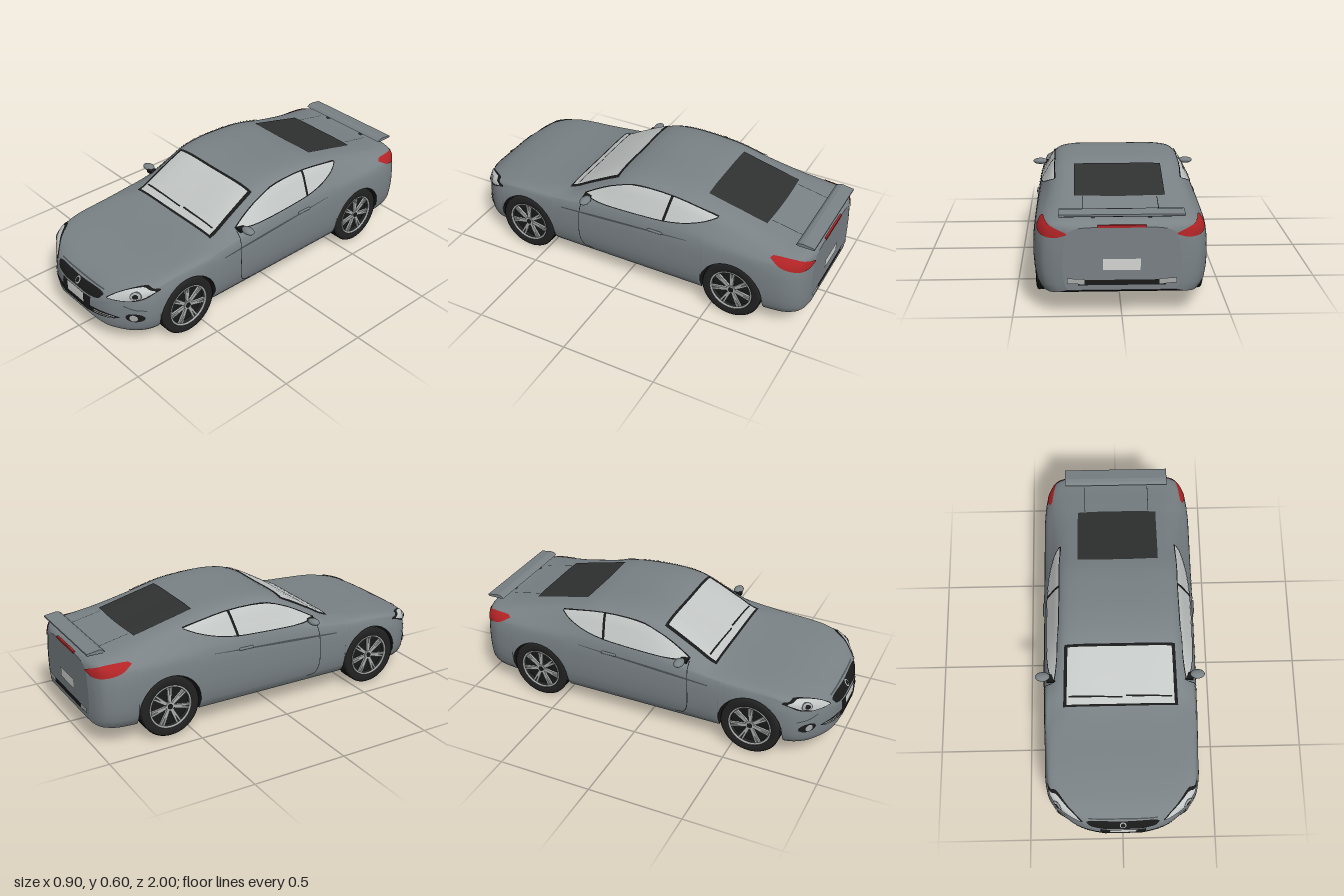
import * as THREE from 'three';

const mat = (name, color) => Object.assign(
  new THREE.MeshStandardMaterial({ color, side: THREE.DoubleSide }), { name });

// z, half width, bottom, belt height, shoulder half width, shoulder height, top
const STATIONS = [
  [-0.995, .27, .125, .34, .24, .402, .422], [-.98, .32, .112, .36, .285, .418, .436],
  [-.95, .365, .105, .385, .328, .43, .45], [-.88, .397, .1, .39, .347, .437, .46],
  [-.8, .407, .1, .395, .345, .447, .476], [-.72, .41, .1, .4, .335, .462, .492],
  [-.5, .41, .1, .41, .315, .515, .545], [-.3, .41, .1, .415, .31, .56, .587],
  [-.1, .41, .1, .415, .308, .572, .597], [.03, .41, .1, .41, .308, .56, .585],
  [.14, .41, .1, .405, .31, .515, .54], [.25, .41, .1, .395, .317, .46, .48],
  [.37, .41, .1, .385, .335, .402, .416], [.5, .408, .1, .372, .36, .39, .398],
  [.7, .405, .1, .35, .37, .373, .382], [.8, .392, .1, .33, .36, .355, .367],
  [.87, .35, .1, .305, .325, .338, .35], [.92, .29, .105, .28, .258, .313, .327],
  [.96, .225, .115, .26, .195, .285, .297], [.98, .17, .13, .24, .14, .26, .272],
  [.995, .1, .15, .22, .08, .236, .246]
];
const WHEEL_Z = [.6, -.62], WHEEL_Y = .16, ARCH = .17, BELT_T = 4 / 9, TOP_T = 8 / 9;
const mix = THREE.MathUtils.lerp;

// Smooth, overshoot-free interpolation of one station column
function stationValue(z, k) {
  const S = STATIONS, n = S.length;
  let i = 0;
  while (i < n - 2 && z > S[i + 1][0]) i++;
  const d = j => (S[j + 1][k] - S[j][k]) / (S[j + 1][0] - S[j][0]);
  const m = j => {
    if (j === 0) return d(0);
    if (j === n - 1) return d(n - 2);
    const a = d(j - 1), b = d(j);
    return a * b <= 0 ? 0 : 2 * a * b / (a + b);
  };
  const h = S[i + 1][0] - S[i][0], t = (z - S[i][0]) / h, t2 = t * t, t3 = t2 * t;
  return (2 * t3 - 3 * t2 + 1) * S[i][k] + (t3 - 2 * t2 + t) * h * m(i)
    + (3 * t2 - 2 * t3) * S[i + 1][k] + (t3 - t2) * h * m(i + 1);
}

// Half cross-section curve, sill to roof centre, cut off by the wheel arch
function section(z) {
  const [W, yb, belt, R, ySh, yT] = [1, 2, 3, 4, 5, 6].map(k => stationValue(z, k));
  const y7 = yT - .15 * (yT - ySh);
  const curve = new THREE.CatmullRomCurve3([
    [.91 * W, yb], [.967 * W, mix(yb, belt, .12)], [W, mix(yb, belt, .4)], [.995 * W, mix(yb, belt, .8)],
    [.965 * W, belt], [mix(.965 * W, R, .5) + .006, mix(belt, ySh, .5)],
    [R, ySh], [.8 * R, y7], [0, yT], [-.8 * R, y7]
  ].map(p => new THREE.Vector3(p[0], p[1], z)));
  let sill = yb;
  for (const c of WHEEL_Z) {
    const q = ARCH * ARCH - (z - c) ** 2;
    if (q > -1e-9) sill = WHEEL_Y + Math.sqrt(Math.max(0, q));
  }
  let lo = 0, hi = BELT_T;
  for (let i = 0; i < 24 && sill > yb; i++) {
    const t = (lo + hi) / 2;
    if (curve.getPoint(t).y < sill) lo = t; else hi = t;
  }
  const half = [];
  for (let i = 0; i < 7; i++) half.push(curve.getPoint(mix(lo, BELT_T, i / 7)));
  for (let i = 0; i <= 15; i++) half.push(curve.getPoint(mix(BELT_T, TOP_T, i / 15)));
  return { half, yb, inner: Math.min(.29, .85 * W) };
}

// Surface through rows of points
function grid(rows) {
  const n = rows[0].length, idx = [];
  for (let i = 0; i < rows.length - 1; i++) for (let j = 0; j < n - 1; j++) {
    const a = i * n + j, c = a + n;
    idx.push(a, a + 1, c, c, a + 1, c + 1);
  }
  const g = new THREE.BufferGeometry().setFromPoints(rows.flat());
  g.setIndex(idx);
  g.computeVertexNormals();
  return g;
}

export function createModel() {
  const car = new THREE.Group();
  car.name = 'coupe';
  const paint = mat('body paint', 0x7a8286), glass = mat('pale glass', 0xc3c7c6), black = mat('black trim', 0x191919),
    tint = mat('tinted rear glass', 0x303131), red = mat('red lamp', 0xb32426), silver = mat('silver metal', 0xa9abab),
    rubber = mat('tyre rubber', 0x222222), white = mat('white plate', 0xd6d6d4), crease = mat('dark crease', 0x4b5052);
  const add = (name, geo, m, parent = car) => {
    const mesh = new THREE.Mesh(geo, m);
    mesh.name = name;
    parent.add(mesh);
    return mesh;
  };
  const box = (name, m, w, h, d, x, y, z) => add(name, new THREE.BoxGeometry(w, h, d), m).position.set(x, y, z);

  // Body shell and underbody
  const zs = [];
  for (let k = 0; k <= 84; k++) zs.push(-.995 * Math.cos(Math.PI * k / 84));
  for (const c of WHEEL_Z) {
    for (let k = 0; k <= 14; k++) zs.push(c + ARCH * Math.cos(Math.PI * k / 14));
    zs.push(c - ARCH - .001, c + ARCH + .001);
  }
  zs.sort((a, b) => a - b);
  const flip = p => new THREE.Vector3(-p.x, p.y, p.z);
  const shellRows = [], floorRows = [];
  for (const z of zs) {
    const { half, yb, inner } = section(z), e = half[0], v = (x, y) => new THREE.Vector3(x, y, z);
    shellRows.push([...half, ...half.slice(0, -1).reverse().map(flip)]);
    floorRows.push([flip(e), v(-inner, e.y), v(-inner, yb), v(inner, yb), v(inner, e.y), e.clone()]);
  }
  const solids = [add('bodyShell', grid(shellRows), paint)];
  const floor = grid(floorRows).toNonIndexed();
  floor.computeVertexNormals();
  add('underbody', floor, black);
  for (const [name, row, turn] of [['rearFace', shellRows[0], Math.PI], ['noseFace', shellRows.at(-1), 0]]) {
    const cap = new THREE.ShapeGeometry(new THREE.Shape(row.map(p => new THREE.Vector2(p.x, p.y))));
    cap.rotateY(turn).translate(0, 0, row[0].z);
    solids.push(add(name, cap, paint));
  }
  box('underPanel', paint, .2, .006, .1, 0, .099, .8);

  // Thin panel between two curves, laid onto the body along direction -n
  const ray = new THREE.Raycaster();
  car.updateMatrixWorld(true);
  function patch(name, m, n, lower, upper, lift = .003, N = 20, M = 5) {
    const dir = new THREE.Vector3(...n).normalize(), back = dir.clone().negate();
    const curves = [lower, upper].map(l => new THREE.CatmullRomCurve3(l.map(p => new THREE.Vector3(...p))));
    const rows = [];
    for (let j = 0; j <= M; j++) {
      const row = [];
      for (let i = 0; i <= N; i++) {
        const p = curves[0].getPoint(i / N).lerp(curves[1].getPoint(i / N), j / M);
        ray.set(p.clone().addScaledVector(dir, 2.5), back);
        const hit = ray.intersectObjects(solids, false)[0];
        if (hit) {
          const f = hit.face.normal.clone();
          if (f.dot(dir) < 0) f.negate();
          p.copy(hit.point).addScaledVector(f, lift);
        } else if (row.length) p.copy(row.at(-1));
        row.push(p);
      }
      rows.push(row);
    }
    return add(name, grid(rows), m);
  }
  // Narrow line of width w laid onto the body
  function line(name, m, n, pts, w, lift = .003) {
    const dir = new THREE.Vector3(...n), P = pts.map(p => new THREE.Vector3(...p));
    const off = s => P.map((p, i) => P[Math.min(i + 1, P.length - 1)].clone().sub(P[Math.max(i - 1, 0)])
      .cross(dir).normalize().multiplyScalar(s * w / 2).add(p).toArray());
    patch(name, m, n, off(-1), off(1), lift, 16, 1);
  }
  const FRONT = [0, 0, 1], REAR = [0, 0, -1], TOP = [0, 1, 0];
  const arc = (cx, cy, rx, ry, s) => Array.from({ length: 9 }, (_, i) =>
    [cx - rx * Math.cos(Math.PI * i / 8), cy + s * ry * Math.sin(Math.PI * i / 8), 0]);
  const disc = (name, m, cx, cy, rx, ry, lift) =>
    patch(name, m, FRONT, arc(cx, cy, rx, ry, -1), arc(cx, cy, rx, ry, 1), lift, 14, 4);
  const bar = (name, m, n, x, y0, y1, lift) =>
    patch(name, m, n, [[-x, y0, 0], [x, y0, 0]], [[-x, y1, 0], [x, y1, 0]], lift, 16, 2);

  // Windscreen, wipers, rear window, boot lid seams
  patch('windscreenFrame', black, TOP, [[-.302, 0, .375], [.302, 0, .375]], [[-.287, 0, .08], [.287, 0, .08]], .003, 24, 10);
  patch('windscreen', glass, TOP, [[-.284, 0, .364], [.284, 0, .364]], [[-.27, 0, .093], [.27, 0, .093]], .006, 24, 10);
  for (const [a, b] of [[-.27, .01], [.03, .27]])
    line('wiper', black, TOP, [[a, 0, .322], [b, 0, .328]], .008, .009);
  patch('rearWindow', tint, TOP,
    [[-.215, 0, -.72], [-.1, 0, -.725], [.1, 0, -.725], [.215, 0, -.72]],
    [[-.215, 0, -.4], [-.1, 0, -.397], [.1, 0, -.397], [.215, 0, -.4]], .004, 20, 8);

  // Grilles, badge ring, plates
  patch('upperGrille', black, FRONT, [[-.188, .29, 0], [-.165, .265, 0], [0, .257, 0], [.165, .265, 0], [.188, .29, 0]],
    [[-.188, .296, 0], [-.165, .302, 0], [0, .298, 0], [.165, .302, 0], [.188, .296, 0]]);
  line('grilleLip', crease, FRONT, [[-.18, .31, 0], [0, .308, 0], [.18, .31, 0]], .005);
  disc('badgeRing', silver, 0, .28, .017, .016, .006);
  disc('badgeCentre', black, 0, .28, .012, .011, .008);
  patch('lowerGrille', black, FRONT, [[-.275, .188, 0], [-.22, .172, 0], [0, .168, 0], [.22, .172, 0], [.275, .188, 0]],
    [[-.275, .192, 0], [-.22, .2, 0], [0, .198, 0], [.22, .2, 0], [.275, .192, 0]]);
  bar('plateMount', black, FRONT, .118, .197, .25, .003);
  bar('frontPlate', white, FRONT, .068, .197, .249, .005);
  bar('rearPlate', white, REAR, .085, .222, .275, .004);
  bar('rearLowerGrille', black, REAR, .2, .15, .175, .003);

  for (const s of [1, -1]) {
    const side = s > 0 ? 'left' : 'right', X = [s, 0, 0];
    const zy = l => l.map(([z, y]) => [0, y, z]);
    const sx = l => l.map(([x, y, z = 0]) => [s * x, y, z]);

    // Side windows
    const low = [[.25, .437], [.15, .432], [0, .437], [-.12, .442], [-.23, .448], [-.34, .465], [-.43, .49], [-.5, .517]];
    const top = [[.25, .44], [.17, .484], [.08, .528], [-.01, .558], [-.12, .567], [-.3, .558], [-.42, .537], [-.5, .52]];
    patch(side + 'SideGlass', glass, X, zy(low), zy(top), .004, 28, 6);
    line(side + 'WindowSill', black, X, zy(low), .004, .006);
    line(side + 'WindowRail', black, X, zy(top), .004, .006);
    line(side + 'DoorPillar', black, X, zy([[-.228, .448], [-.247, .563]]), .014, .007);
    // Door seam, crease and handle
    line(side + 'DoorSeam', black, X, zy([[.25, .43], [.26, .32], [.257, .18], [.235, .142], [.19, .134]]), .004);
    patch(side + 'SideCrease', crease, X, zy([[.37, .343], [.1, .357], [-.37, .388]]), zy([[.37, .349], [.1, .369], [-.37, .391]]));
    const handle = add(side + 'DoorHandle', new THREE.CapsuleGeometry(.007, .07, 4, 8), paint);
    handle.rotation.x = Math.PI / 2;
    handle.position.set(s * .405, .383, -.19);
    // Boot lid seam
    line(side + 'BootSeam', black, TOP, [[s * .175, 0, -.73], [s * .175, 0, -.9]], .003);

    // Headlamp, fog lamp, bumper crease, lower slats
    patch(side + 'HeadlampFrame', black, FRONT,
      sx([[.21, .284], [.27, .285], [.325, .291], [.367, .308], [.387, .335]]),
      sx([[.21, .292], [.25, .323], [.3, .349], [.347, .359], [.384, .345]]), .002);
    patch(side + 'Headlamp', glass, FRONT,
      sx([[.217, .287], [.27, .29], [.32, .296], [.36, .312], [.381, .334]]),
      sx([[.217, .29], [.25, .318], [.3, .344], [.345, .354], [.378, .342]]), .005);
    disc(side + 'HeadlampRing', crease, s * .334, .322, .021, .02, .007);
    disc(side + 'HeadlampRim', silver, s * .334, .322, .017, .016, .0085);
    disc(side + 'HeadlampLens', black, s * .334, .322, .01, .01, .0095);
    disc(side + 'FogRecess', black, s * .335, .197, .035, .025, .003);
    disc(side + 'FogLamp', silver, s * .332, .197, .015, .019, .006);
    line(side + 'BumperCrease', crease, FRONT, sx([[.29, .262], [.33, .248], [.375, .24]]), .006);
    for (const y of [.18, .19]) line(side + 'LowerSlat', silver, FRONT, sx([[.14, y], [.255, y + .001]]), .004, .005);

    // Tail lamp and rear bumper insert
    patch(side + 'TailLamp', red, [.707 * s, 0, -.707],
      sx([[.385, .425, -.82], [.395, .395, -.87], [.375, .376, -.94], [.31, .372, -.985], [.25, .388, -.995]]),
      sx([[.36, .435, -.82], [.36, .435, -.88], [.34, .428, -.95], [.3, .412, -.985], [.25, .395, -.995]]), .004);
    patch(side + 'RearInsert', silver, REAR, sx([[.17, .155], [.25, .16]]), sx([[.17, .18], [.25, .185]]), .006, 8, 2);

    // Door mirror
    const mirror = add(side + 'Mirror', new THREE.SphereGeometry(1, 24, 16), paint);
    mirror.scale.set(.039, .017, .026);
    mirror.position.set(s * .409, .442, .215);
    box(side + 'MirrorMount', black, .045, .016, .04, s * .365, .438, .225);
    // Wing post
    box(side + 'WingPost', crease, .014, .035, .03, s * .13, .46, -.93);
  }

  // Rear wing and high brake lamp
  const wing = new THREE.ExtrudeGeometry(new THREE.Shape([[.9, .478], [.915, .49], [.935, .493], [.997, .484], [.997, .476], [.93, .474]]
    .map(p => new THREE.Vector2(...p))), { depth: .57, bevelEnabled: false });
  add('rearWing', wing.rotateY(Math.PI / 2).translate(-.285, 0, 0), paint);
  box('wingUnderside', black, .565, .003, .08, 0, .4735, -.953);
  box('highBrakeLamp', red, .22, .012, .01, 0, .428, -.994);

  // Wheels, built facing +z and turned outward
  const tread = [[.108, -.05], [.143, -.05], [.156, -.043]];
  for (let i = 0; i < 5; i++) {
    const y = -.036 + i * .0165;
    tread.push([.16, y], [.16, y + .01], [.156, y + .0105], [.156, y + .016]);
  }
  tread.push([.152, .047], [.143, .05], [.12, .05], [.108, .042]);
  const tyre = new THREE.LatheGeometry(tread.map(p => new THREE.Vector2(...p)), 48).rotateX(Math.PI / 2);
  const spoke = new THREE.ExtrudeGeometry(new THREE.Shape([[-.008, .015], [.008, .015], [.014, .108], [.004, .108], [0, .06],
    [-.004, .108], [-.014, .108]].map(p => new THREE.Vector2(...p))), { depth: .012, bevelEnabled: false });
  const round = (r, h, z) => new THREE.CylinderGeometry(r, r, h, 32).rotateX(Math.PI / 2).translate(0, 0, z);
  for (const z of WHEEL_Z) for (const s of [1, -1]) {
    const wheel = new THREE.Group();
    wheel.name = (z > 0 ? 'front' : 'rear') + (s > 0 ? 'Left' : 'Right') + 'Wheel';
    add('tyre', tyre, rubber, wheel);
    add('wheelDish', round(.11, .06, -.012), black, wheel);
    add('innerHub', round(.075, .01, -.045), silver, wheel);
    add('rimEdge', new THREE.TorusGeometry(.111, .006, 8, 40).translate(0, 0, .043), silver, wheel);
    for (let i = 0; i < 7; i++) {
      const blade = add('spoke', spoke, silver, wheel);
      blade.rotation.z = i * Math.PI * 2 / 7;
      blade.position.z = .028;
    }
    add('hubCap', round(.024, .012, .037), silver, wheel);
    add('hubCentre', round(.014, .004, .044), black, wheel);
    wheel.position.set(s * .352, WHEEL_Y, z);
    wheel.rotation.y = s * Math.PI / 2;
    car.add(wheel);
  }
  return car;
}
